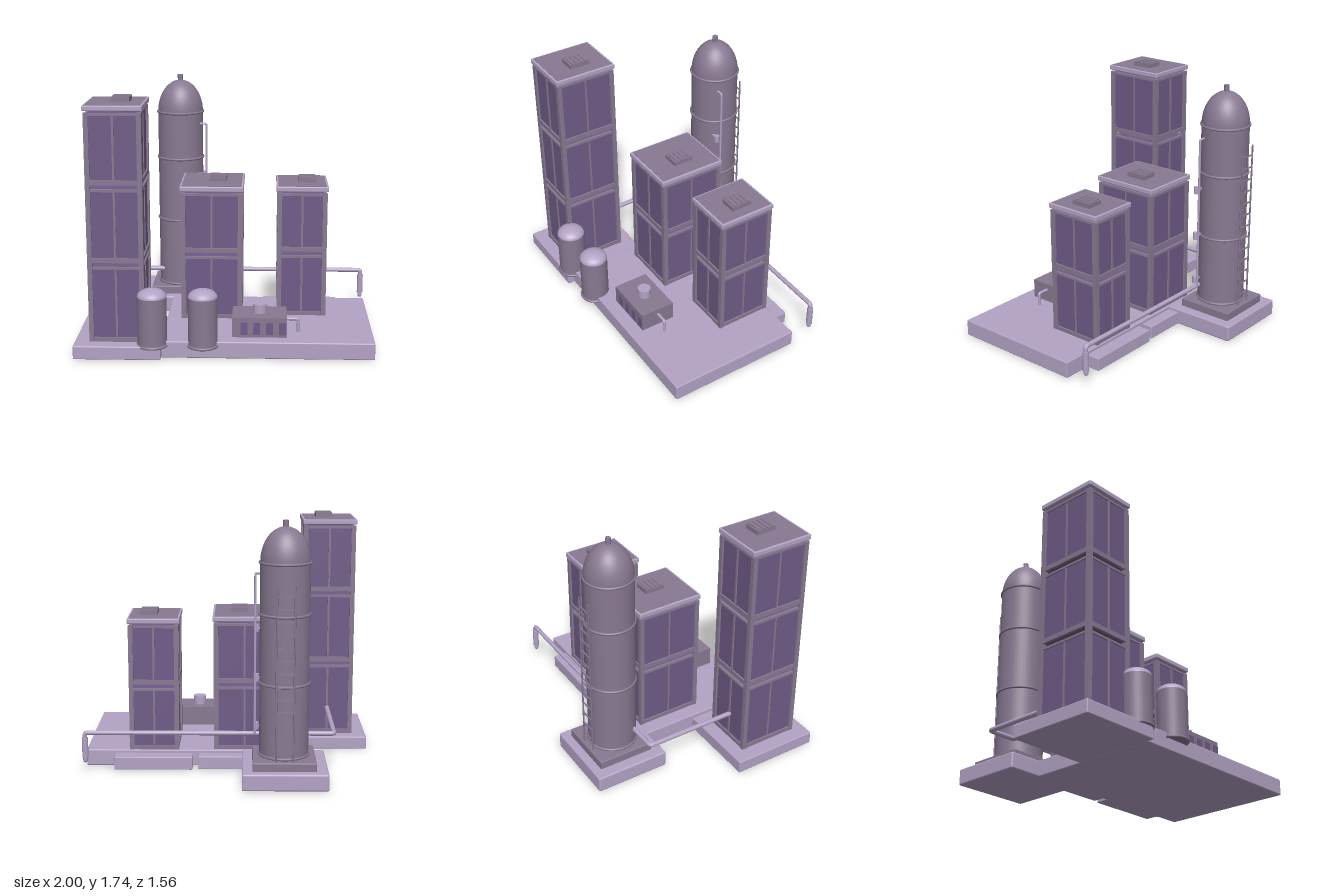
import * as THREE from 'three';
import { RoundedBoxGeometry } from 'three/addons/geometries/RoundedBoxGeometry.js';

const mat = (name, color) => {
  const m = new THREE.MeshStandardMaterial({ color });
  m.name = name;
  return m;
};

export function createModel() {
  const light = mat('pale lilac', 0xb3a3c5);
  const frame = mat('grey mauve', 0x887992);
  const panel = mat('deep purple', 0x6f5b87);
  const root = new THREE.Group();
  root.name = 'industrialPlant';

  const group = (name) => {
    const g = new THREE.Group();
    g.name = name;
    root.add(g);
    return g;
  };
  const add = (parent, name, geo, m, x = 0, y = 0, z = 0) => {
    const mesh = new THREE.Mesh(geo, m);
    mesh.name = name;
    mesh.position.set(x, y, z);
    parent.add(mesh);
    return mesh;
  };
  // Box from its limits; a radius rounds the edges
  const box = (parent, name, m, x0, x1, y0, y1, z0, z1, r = 0) => {
    const s = [x1 - x0, y1 - y0, z1 - z0];
    const geo = r ? new RoundedBoxGeometry(...s, 2, r) : new THREE.BoxGeometry(...s);
    return add(parent, name, geo, m, (x0 + x1) / 2, (y0 + y1) / 2, (z0 + z1) / 2);
  };
  const cyl = (parent, name, m, r, x, y0, y1, z, seg = 24, rBottom = r) =>
    add(parent, name, new THREE.CylinderGeometry(r, rBottom, y1 - y0, seg), m, x, (y0 + y1) / 2, z);
  const ring = (parent, name, m, R, r, x, y, z) => {
    add(parent, name, new THREE.TorusGeometry(R, r, 8, 48), m, x, y, z).rotation.x = Math.PI / 2;
  };
  // Pipe along straight runs with tightly rounded corners
  const pipe = (parent, name, m, r, pts) => {
    const v = pts.map((p) => new THREE.Vector3(...p));
    const path = new THREE.CurvePath();
    let start = v[0];
    for (let i = 1; i < v.length - 1; i++) {
      const a = v[i].clone().add(v[i - 1].clone().sub(v[i]).setLength(r * 1.3));
      const b = v[i].clone().add(v[i + 1].clone().sub(v[i]).setLength(r * 1.3));
      path.add(new THREE.LineCurve3(start, a));
      path.add(new THREE.QuadraticBezierCurve3(a, v[i], b));
      start = b;
    }
    path.add(new THREE.LineCurve3(start, v[v.length - 1]));
    add(parent, name, new THREE.TubeGeometry(path, 160, r, 12), m);
    for (const end of [v[0], v[v.length - 1]]) {
      add(parent, name + 'End', new THREE.SphereGeometry(r, 12, 8), m, end.x, end.y, end.z);
    }
  };

  // Foundation slabs
  const base = group('foundation');
  box(base, 'mainSlab', light, -0.42, 0.99, 0, 0.115, -0.26, 0.70, 0.008);
  box(base, 'leftSlab', light, -1, -0.42, 0, 0.092, 0.13, 0.75, 0.008);
  box(base, 'siloSlab', light, -0.66, -0.09, 0, 0.115, -0.78, -0.25, 0.012);
  box(base, 'backSlabA', light, -0.2, 0.21, 0, 0.092, -0.34, -0.25, 0.006);
  box(base, 'backSlabB', light, 0.25, 0.79, 0, 0.092, -0.355, -0.25, 0.006);
  box(base, 'siloPlinth', frame, -0.58, -0.16, 0.11, 0.172, -0.72, -0.32, 0.006);

  // Framed tower: posts, panelled storeys, mullions, beams, roof and vent
  function tower(name, x0, x1, z0, z1, y0, y1, joints, vx, vz) {
    const g = group(name);
    const cx = (x0 + x1) / 2, cz = (z0 + z1) / 2, p = 0.032, gap = 0.015;
    for (const x of [x0, x1 - p]) for (const z of [z0, z1 - p]) {
      box(g, 'cornerPost', frame, x, x + p, y0, y1, z, z + p);
    }
    const levels = [y0, ...joints, y1];
    for (let i = 0; i < levels.length - 1; i++) {
      const lo = levels[i] + (i ? gap : 0);
      const hi = levels[i + 1] - (i < joints.length ? gap : 0.002);
      const d = 0.014;
      box(g, 'wallPanels', panel, x0 + d, x1 - d, lo + 0.005, hi - 0.003, z0 + d, z1 - d);
      // Bottom and top beams on every face
      for (const [a, b, bow] of [[lo, lo + 0.032, 0.003], [hi - 0.016, hi, 0.005]]) {
        for (const z of [z0 + bow, z1 - 0.02 - bow]) {
          box(g, 'crossBeam', frame, x0 + p, x1 - p, a, b, z, z + 0.02);
        }
        for (const x of [x0 + bow, x1 - 0.02 - bow]) {
          box(g, 'sideBeam', frame, x, x + 0.02, a, b, z0 + p, z1 - p);
        }
      }
      // Centre mullions
      for (const z of [z0 + 0.006, z1 - 0.018]) {
        box(g, 'mullion', frame, cx - 0.007, cx + 0.007, lo, hi, z, z + 0.012);
      }
      for (const x of [x0 + 0.008, x1 - 0.02]) {
        box(g, 'sideMullion', frame, x, x + 0.012, lo, hi, cz - 0.006, cz + 0.006);
      }
    }
    // Recessed core bridging the storeys
    for (const y of joints) {
      box(g, 'floorCore', frame, cx - 0.06, cx + 0.06, y - 0.03, y + 0.03, cz - 0.05, cz + 0.05);
    }
    box(g, 'roofCore', frame, cx - 0.06, cx + 0.06, y1 - 0.02, y1 + 0.02, cz - 0.06, cz + 0.06);
    const t = y1 + 0.048, e = 0.007;
    box(g, 'roofCap', light, x0 - e, x1 + e, y1 + 0.013, t, z0 - e, z1 + e, 0.006);
    box(g, 'roofDeck', frame, x0 + e, x1 - e, t - 0.004, t + 0.002, z0 + e, z1 - e);
    // Louvred roof vent
    box(g, 'roofVent', frame, vx - 0.06, vx + 0.06, t, t + 0.032, vz - 0.073, vz + 0.073);
    for (let i = 0; i < 4; i++) {
      const z = vz - 0.05 + i * 0.033;
      box(g, 'ventSlat', frame, vx - 0.057, vx + 0.057, t + 0.03, t + 0.038, z - 0.009, z + 0.009);
    }
  }
  tower('tallTower', -0.9, -0.53, 0.225, 0.66, 0.09, 1.622, [0.62, 1.14], -0.68, 0.435);
  tower('middleTower', -0.32, 0.105, -0.245, 0.23, 0.11, 1.008, [0.575], -0.07, -0.01);
  tower('rightTower', 0.345, 0.69, -0.255, 0.145, 0.11, 0.994, [0.565], 0.555, -0.06);

  // Domed silo
  const silo = group('silo');
  const sx = -0.37, sz = -0.51;
  cyl(silo, 'siloBody', frame, 0.165, sx, 0.17, 1.47, sz, 48);
  add(silo, 'siloDome', new THREE.SphereGeometry(0.165, 48, 16, 0, Math.PI * 2, 0, Math.PI / 2),
    frame, sx, 1.47, sz).scale.y = 1.39;
  cyl(silo, 'siloNozzle', frame, 0.019, sx, 1.68, 1.74, sz, 16);
  for (const y of [0.182, 0.67, 1.13, 1.468]) ring(silo, 'siloBand', frame, 0.166, 0.009, sx, y, sz);

  // Ladder on the back of the silo
  for (const s of [-1, 1]) {
    cyl(silo, 'ladderRail', frame, 0.006, sx + s * 0.058, 0.17, 1.34, sz - 0.187, 8);
  }
  for (let i = 0; i < 13; i++) {
    const y = 0.25 + i * 0.085;
    box(silo, 'ladderRung', frame, sx - 0.058, sx + 0.058, y - 0.004, y + 0.004, sz - 0.191, sz - 0.183);
  }

  // Riser pipe with brackets
  pipe(silo, 'riserPipe', light, 0.008,
    [[-0.23, 1.385, -0.44], [-0.176, 1.385, -0.44], [-0.176, 0.29, -0.44]]);
  for (const y of [0.34, 0.675, 1.015]) {
    cyl(silo, 'riserClamp', light, 0.018, -0.185, y - 0.025, y + 0.025, -0.412, 16);
    box(silo, 'clampArm', light, -0.24, -0.185, y - 0.008, y + 0.008, -0.424, -0.408);
  }

  // Ground-level pipework
  const pipes = group('pipework');
  pipe(pipes, 'outletPipe', light, 0.016,
    [[-0.25, 0.285, -0.415], [0.978, 0.285, -0.415], [0.978, 0.09, -0.415]]);
  cyl(pipes, 'outletSleeve', light, 0.021, 0.978, 0.11, 0.25, -0.415, 16);
  pipe(pipes, 'feedPipe', light, 0.017,
    [[-0.47, 0.285, -0.415], [-0.715, 0.285, -0.415], [-0.715, 0.285, 0.24]]);

  // Two domed storage tanks at the front
  for (const x of [-0.48, -0.145]) {
    const g = group('storageTank');
    cyl(g, 'tankBody', frame, 0.098, x, 0.08, 0.415, 0.67, 32);
    add(g, 'tankDome', new THREE.SphereGeometry(0.098, 32, 12, 0, Math.PI * 2, 0, Math.PI / 2),
      light, x, 0.413, 0.67).scale.y = 0.58;
    ring(g, 'tankFoot', frame, 0.098, 0.01, x, 0.085, 0.67);
  }

  // Low pump house with front hatches, flue and drain pipe
  const pump = group('pumpHouse');
  box(pump, 'pumpBody', frame, 0.045, 0.41, 0.11, 0.25, 0.355, 0.605);
  for (let i = 0; i < 4; i++) {
    const x = 0.125 + i * 0.085;
    box(pump, 'hatch', panel, x - 0.023, x + 0.023, 0.135, 0.218, 0.603, 0.611);
  }
  cyl(pump, 'flue', light, 0.046, 0.228, 0.245, 0.312, 0.477, 24);
  pipe(pump, 'drainPipe', light, 0.011, [[0.4, 0.205, 0.477], [0.49, 0.205, 0.477], [0.49, 0.115, 0.477]]);

  return root;
}
